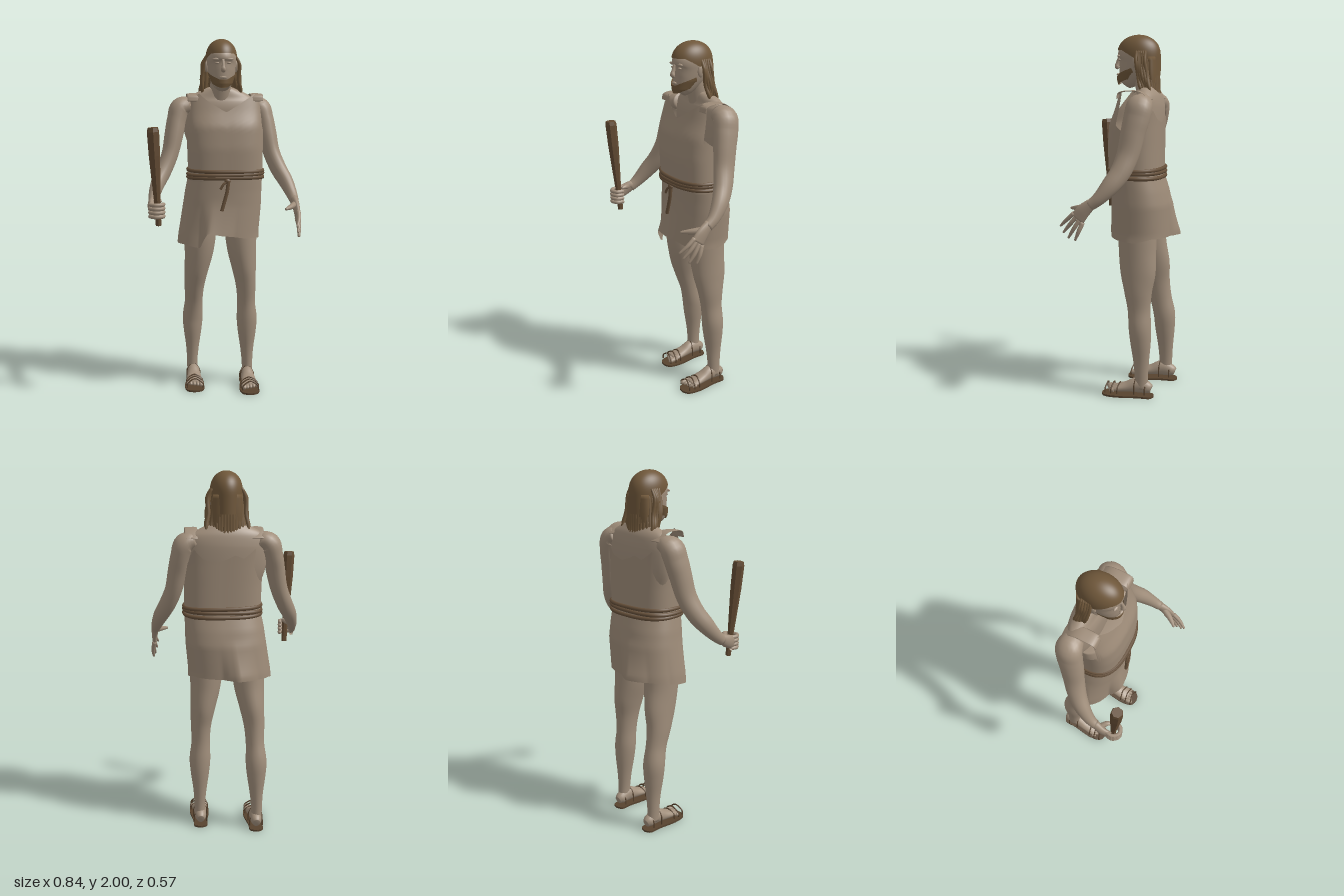
import * as THREE from 'three';

const mat = (name, color, double) => {
  const m = new THREE.MeshStandardMaterial({ color });
  m.name = name;
  if (double) m.side = THREE.DoubleSide;
  return m;
};
const V = (p) => new THREE.Vector3(p[0], p[1], p[2]);
const rad = THREE.MathUtils.degToRad, clamp = THREE.MathUtils.clamp;
const spow = (v, p) => Math.sign(v) * Math.abs(v) ** p;

// Linear lookup in rows of [key, values...]
function look(rows, key) {
  let i = 0;
  while (i < rows.length - 2 && key > rows[i + 1][0]) i++;
  const [a, b] = [rows[i], rows[i + 1]];
  const t = clamp((key - a[0]) / (b[0] - a[0]), 0, 1);
  return a.slice(1).map((v, k) => v + (b[k + 1] - v) * t);
}

function build(pos, idx) {
  const g = new THREE.BufferGeometry();
  g.setAttribute('position', new THREE.Float32BufferAttribute(pos, 3));
  g.setIndex(idx);
  g.computeVertexNormals();
  return g;
}

// Capped smooth loft along stations [x, y, z, radius across, radius other way]
function limb(stations, sides = 20, per = 5) {
  const path = new THREE.CatmullRomCurve3(stations.map(V));
  const size = new THREE.CatmullRomCurve3(stations.map((s) => new THREE.Vector3(s[3], s[4] ?? s[3], 0)), false, 'catmullrom');
  const n = (stations.length - 1) * per, pos = [], idx = [];
  for (let k = 0; k <= n; k++) {
    const c = path.getPoint(k / n), r = size.getPoint(k / n), T = path.getTangent(k / n);
    const A = new THREE.Vector3(1, 0, 0).addScaledVector(T, -T.x).normalize();
    const B = new THREE.Vector3().crossVectors(T, A);
    for (let i = 0; i < sides; i++) {
      const f = (i / sides) * Math.PI * 2;
      pos.push(...c.clone().addScaledVector(A, Math.cos(f) * r.x).addScaledVector(B, Math.sin(f) * r.y).toArray());
    }
  }
  pos.push(...path.getPoint(0).toArray(), ...path.getPoint(1).toArray());
  const c0 = (n + 1) * sides;
  for (let i = 0; i < sides; i++) {
    const j = (i + 1) % sides;
    for (let k = 0; k < n; k++) {
      const a = k * sides + i, b = k * sides + j;
      idx.push(a, b, a + sides, b, b + sides, a + sides);
    }
    idx.push(c0, j, i, c0 + 1, n * sides + i, n * sides + j);
  }
  return build(pos, idx);
}

// Open shell round the y axis: range(deg) gives [low, high], section(y, deg) gives [cx, cz, rx, rz]
function shell(range, section, power = 1, ease = (v) => v, cols = 120, rows = 20) {
  const pos = [], idx = [];
  for (let k = 0; k <= rows; k++) for (let i = 0; i < cols; i++) {
    const deg = (i / cols) * 360, [lo, hi] = range(deg);
    const y = lo + (hi - lo) * ease(k / rows), [cx, cz, rx, rz] = section(y, deg);
    pos.push(cx + rx * spow(Math.cos(rad(deg)), power), y, cz + rz * spow(Math.sin(rad(deg)), power));
  }
  for (let k = 0; k < rows; k++) for (let i = 0; i < cols; i++) {
    const a = k * cols + i, b = k * cols + (i + 1) % cols;
    idx.push(a, a + cols, b, b, a + cols, b + cols);
  }
  return build(pos, idx);
}

const tube = (pts, r, closed = false, seg = 32) =>
  new THREE.TubeGeometry(new THREE.CatmullRomCurve3(pts.map(V), closed), seg, r, 8, closed);

export function createModel() {
  const root = new THREE.Group();
  const skin = mat('skin', 0xa08e7b, true), cloth = mat('tunic cloth', 0x9c8a77, true);
  const hair = mat('hair', 0x6f573a, true), rope = mat('rope', 0x66503a, true);
  const wood = mat('club wood', 0x634b33), leather = mat('sandal leather', 0x57432f);
  const add = (name, geo, m, parent = root) => {
    const mesh = new THREE.Mesh(geo, m);
    mesh.name = name;
    parent.add(mesh);
    return mesh;
  };
  const ball = (name, p, s, m) => {
    const b = add(name, new THREE.SphereGeometry(1, 16, 12), m);
    b.position.set(...p);
    b.scale.set(...s);
  };

  // Head and face
  const headRows = [[1.735, 0.024, 0.035, 0.034], [1.755, 0.008, 0.053, 0.055], [1.8, -0.02, 0.071, 0.083],
    [1.85, -0.045, 0.08, 0.107], [1.9, -0.053, 0.081, 0.112], [1.95, -0.055, 0.062, 0.086], [1.98, -0.055, 0.025, 0.03]];
  add('head', limb(headRows.map(([y, z, rx, rz]) => [0, y, z, rx, rz]), 32), skin);
  add('neck', limb([[0, 1.6, -0.12, 0.075, 0.06], [0, 1.69, -0.105, 0.062, 0.06], [0, 1.82, -0.075, 0.057, 0.06]]), skin);
  add('nose', limb([[0, 1.885, 0.055, 0.008, 0.006], [0, 1.85, 0.064, 0.009, 0.011], [0, 1.83, 0.068, 0.014, 0.013], [0, 1.82, 0.06, 0.01, 0.008]], 12), skin);
  ball('lips', [0, 1.788, 0.06], [0.021, 0.007, 0.009], skin);
  for (const s of [1, -1]) {
    ball('brow', [s * 0.034, 1.886, 0.046], [0.025, 0.008, 0.01], skin);
    ball('eye', [s * 0.032, 1.866, 0.045], [0.012, 0.006, 0.009], skin);
    ball('ear', [s * 0.083, 1.85, -0.055], [0.009, 0.032, 0.02], skin);
  }
  add('beard', shell((d) => look([[0, 1.757, 1.82], [45, 1.737, 1.793], [72, 1.732, 1.777], [108, 1.732, 1.777], [135, 1.737, 1.793],
    [180, 1.757, 1.82], [205, 1.765, 1.78], [335, 1.765, 1.78], [360, 1.757, 1.82]], d), (y) => {
    const [z, rx, rz] = look(headRows, y);
    return [0, z, rx + 0.003, rz + 0.003];
  }), hair);

  // Hair cap with locks hanging at the sides and back
  add('hairCap', shell((d) => [look([[0, 1.87], [25, 1.9], [45, 1.918], [135, 1.918], [155, 1.9], [180, 1.87], [225, 1.78], [315, 1.78], [360, 1.87]], d)[0], 2], (y) => {
    const f = Math.sqrt(Math.max(0, 1 - (Math.max(0, y - 1.88) / 0.12) ** 2.5));
    return [0, -0.055, 0.088 * f, 0.121 * f];
  }, 1, (v) => Math.sin(v * Math.PI / 2)), hair);
  add('backHair', limb([[0, 1.88, -0.13, 0.075, 0.035], [0, 1.78, -0.135, 0.08, 0.032], [0, 1.68, -0.15, 0.07, 0.014]]), hair);
  for (let i = 0; i < 15; i++) {
    const a = rad(205 + i * 130 / 14), c = Math.cos(a), s = Math.sin(a), j = Math.sin(i * 7.3);
    add('backLock', limb([[0.08 * c, 1.88, -0.06 + 0.1 * s, 0.008], [0.092 * c, 1.78, -0.07 + 0.09 * s, 0.012],
      [(0.1 + 0.008 * j) * c, 1.7, -0.1 + 0.065 * s, 0.01], [0.1 * c + 0.006 * j, 1.62 + 0.035 * j, -0.14 + 0.04 * s, 0.003]], 7, 4), hair);
  }
  for (const s of [1, -1]) for (let i = 0; i < 5; i++) {
    const z = -0.062 - i * 0.012, j = Math.sin(i * 5.1 + s);
    add('sideLock', limb([[s * 0.08, 1.91, z, 0.007], [s * (0.098 + 0.006 * j), 1.86, z, 0.01], [s * (0.103 - 0.006 * j), 1.78, z - 0.012, 0.011],
      [s * (0.108 + 0.006 * j), 1.72, z - 0.026, 0.01], [s * 0.11, 1.665 + 0.025 * j, z - 0.04, 0.003]], 7, 4), hair);
  }

  // Torso, shoulders and arms
  add('torso', limb([[0, 0.97, -0.08, 0.1, 0.07], [0.008, 1.05, -0.08, 0.175, 0.125], [0.015, 1.2, -0.06, 0.185, 0.12],
    [0.018, 1.36, -0.055, 0.185, 0.125], [0.018, 1.45, -0.07, 0.18, 0.1]], 32), skin);
  add('shoulders', limb([[0.01, 1.4, -0.115, 0.18, 0.068], [0.005, 1.5, -0.115, 0.212, 0.076], [0.002, 1.61, -0.115, 0.215, 0.077],
    [0, 1.665, -0.115, 0.2, 0.067], [0, 1.7, -0.11, 0.15, 0.053], [0, 1.735, -0.105, 0.07, 0.045]], 32), skin);
  const armRows = [[0.17, 1.64, -0.112, 0.045, 0.055], [0.225, 1.622, -0.112, 0.058, 0.07], [0.248, 1.56, -0.102, 0.054, 0.071],
    [0.264, 1.48, -0.085, 0.053, 0.066], [0.288, 1.37, -0.064, 0.047, 0.06], [0.324, 1.28, -0.032, 0.045, 0.055],
    [0.36, 1.21, 0.014, 0.04, 0.048], [0.384, 1.145, 0.07, 0.03, 0.035], [0.392, 1.11, 0.115, 0.023, 0.029]];
  for (const s of [1, -1])
    add(s > 0 ? 'leftArm' : 'rightArm', limb(armRows.map(([x, y, z, a, b]) => [s * x, y, z, a, b])), skin);

  // Open left hand
  add('leftPalm', limb([[0.39, 1.125, 0.1, 0.022, 0.028], [0.396, 1.08, 0.15, 0.018, 0.038], [0.398, 1.04, 0.18, 0.014, 0.04]]), skin);
  [[0.378, 0.995, 0.28], [0.385, 0.962, 0.262], [0.395, 0.935, 0.232], [0.405, 0.925, 0.192]].forEach((t, i) => {
    const o = (1.5 - i) * 0.016, b = [0.398, 1.045 + o, 0.175 + o];
    add('finger', limb([[...b, 0.012], [(b[0] + t[0]) / 2 + 0.006, (b[1] + t[1]) / 2, (b[2] + t[2]) / 2, 0.011], [...t, 0.006]], 10), skin);
  });
  add('thumb', limb([[0.39, 1.1, 0.14, 0.018], [0.36, 1.092, 0.19, 0.015], [0.323, 1.085, 0.235, 0.007]], 10), skin);

  // Right fist round the club
  add('rightPalm', limb([[-0.388, 1.125, 0.1, 0.023, 0.028], [-0.4, 1.1, 0.15, 0.02, 0.036], [-0.398, 1.085, 0.195, 0.014, 0.036]]), skin);
  for (let i = 0; i < 4; i++) {
    const y = 1.052 + i * 0.021;
    add('grippingFinger', tube([[-0.4, y, 0.175], [-0.406, y, 0.215], [-0.38, y, 0.244], [-0.343, y, 0.233], [-0.336, y, 0.2]], 0.011), skin);
    ball('fingertip', [-0.336, y, 0.2], [0.011, 0.011, 0.011], skin);
  }
  add('grippingThumb', limb([[-0.385, 1.12, 0.14, 0.015], [-0.36, 1.13, 0.165, 0.014], [-0.35, 1.13, 0.195, 0.007]], 10), skin);
  const top = V([-0.388, 1.525, 0.235]), bottom = V([-0.362, 1, 0.2]), axis = top.clone().sub(bottom);
  const profile = [[0, 0], [0.016, 0], [0.016, 0.2], [0.022, 0.4], [0.031, 0.72], [0.033, 0.96], [0.028, 1], [0, 1]]
    .map(([r, t]) => new THREE.Vector2(r, t * axis.length()));
  const clubGeo = new THREE.LatheGeometry(profile, 7).toNonIndexed();
  clubGeo.computeVertexNormals();
  const club = add('club', clubGeo, wood);
  club.position.copy(bottom);
  club.quaternion.setFromUnitVectors(new THREE.Vector3(0, 1, 0), axis.clone().normalize());

  // Tunic body with armholes, V neck and ragged back
  const bodyRows = [[1.22, 0.022, -0.053, 0.208, 0.142], [1.4, 0.02, -0.05, 0.212, 0.146], [1.52, 0.018, -0.055, 0.216, 0.142],
    [1.6, 0.018, -0.072, 0.216, 0.126], [1.7, 0.018, -0.088, 0.212, 0.112]];
  const neckline = [[0, 1.47], [24, 1.52], [34, 1.685], [48, 1.7], [70, 1.66], [85, 1.622], [90, 1.6], [95, 1.622], [110, 1.66], [126, 1.7],
    [146, 1.685], [156, 1.52], [180, 1.47], [205, 1.5], [228, 1.6], [250, 1.55], [262, 1.57], [275, 1.53], [295, 1.55], [312, 1.6], [335, 1.5], [360, 1.47]];
  add('tunicBody', shell((d) => [1.22, look(neckline, d)[0]], (y) => look(bodyRows, y), 0.72), cloth);
  for (const s of [1, -1]) {
    const x = 0.016 + s * 0.176;
    add('shoulderStrap', limb([[x, 1.66, 0.014, 0.034, 0.003], [x, 1.69, 0.004, 0.034, 0.003], [x, 1.7, -0.05, 0.034, 0.003],
      [x, 1.695, -0.11, 0.034, 0.003], [x, 1.655, -0.168, 0.034, 0.003]], 16), cloth);
  }

  // Skirt with an uneven hem and two flared corners
  const skirtRows = [[0.84, -0.012, -0.075, 0.23, 0.165], [0.92, -0.01, -0.075, 0.224, 0.166], [1.08, 0.006, -0.077, 0.222, 0.162],
    [1.16, 0.012, -0.068, 0.217, 0.154], [1.25, 0.022, -0.053, 0.209, 0.142]];
  const hem = [[0, 0.885], [60, 0.9], [90, 0.92], [104, 0.938], [118, 0.85], [124, 0.846], [150, 0.862], [180, 0.87], [205, 0.89], [270, 0.9], [330, 0.905], [360, 0.885]];
  const flare = [[0, 1], [75, 1], [104, 1.2], [122, 0.9], [140, 0.97], [165, 1.07], [195, 1.02], [235, 1.07], [264, 1.27], [277, 1], [360, 1]];
  add('skirt', shell((d) => [look(hem, d)[0], 1.25], (y, d) => {
    const [cx, cz, rx, rz] = look(skirtRows, y), f = 1 + (look(flare, d)[0] - 1) * clamp((1.12 - y) / 0.2, 0, 1) ** 1.3;
    return [cx, cz, rx * f, rz * f];
  }, 0.85), cloth);

  // Rope belt, knot and hanging ends
  for (let k = 0; k < 3; k++) {
    const ring = Array.from({ length: 24 }, (_, i) => {
      const a = (i / 24) * Math.PI * 2;
      return [0.022 + 0.21 * spow(Math.cos(a), 0.78), 1.237 + k * 0.02 + 0.004 * Math.sin(a + k * 2), -0.053 + 0.147 * spow(Math.sin(a), 0.78)];
    });
    add('beltCoil', tube(ring, 0.011, true, 96), rope);
  }
  ball('knot', [0.02, 1.225, 0.098], [0.018, 0.014, 0.012], rope);
  add('longRopeEnd', tube([[0.025, 1.225, 0.1], [0.018, 1.17, 0.1], [0.005, 1.12, 0.1], [-0.012, 1.06, 0.102]], 0.01), rope);
  add('shortRopeEnd', tube([[0.02, 1.225, 0.1], [-0.005, 1.205, 0.104], [-0.02, 1.18, 0.104]], 0.007), rope);

  // Legs, feet and sandals; the left leg stands forward
  const legRows = [[0.113, 1.13, -0.075, 0.085, 0.095], [0.113, 0.95, -0.076, 0.092, 0.106], [0.12, 0.82, -0.078, 0.084, 0.104],
    [0.135, 0.7, -0.085, 0.069, 0.098], [0.146, 0.6, -0.088, 0.058, 0.078], [0.149, 0.5, -0.094, 0.052, 0.064], [0.154, 0.4, -0.1, 0.059, 0.063],
    [0.155, 0.32, -0.104, 0.053, 0.058], [0.156, 0.21, -0.108, 0.038, 0.045], [0.158, 0.12, -0.11, 0.031, 0.038], [0.158, 0.05, -0.112, 0.03, 0.038]];
  const footRows = [[0, 0.046, -0.055, 0.02, 0.024], [0, 0.054, -0.035, 0.031, 0.034], [0, 0.066, 0.02, 0.034, 0.044],
    [0, 0.052, 0.08, 0.04, 0.03], [0, 0.042, 0.135, 0.045, 0.021], [0, 0.036, 0.168, 0.043, 0.014]];
  const sole = new THREE.Shape(new THREE.SplineCurve([[0, -0.07], [0.036, -0.05], [0.04, 0.02], [0.056, 0.13], [0.045, 0.205], [0, 0.227],
    [-0.045, 0.205], [-0.056, 0.13], [-0.04, 0.02], [-0.036, -0.05], [0, -0.07]].map(([x, z]) => new THREE.Vector2(x, -z))).getPoints(60));
  for (const s of [1, -1]) {
    const side = s > 0 ? 'left' : 'right';
    const back = (y) => (s > 0 ? 0 : -0.075 * clamp((0.92 - y) / 0.5, 0, 1) ** 1.3);
    add(side + 'Leg', limb(legRows.map(([x, y, z, a, b]) => [s * x - (s < 0 ? 0.005 : 0), y, z + back(y), a, b]), 24), skin);
    const foot = new THREE.Group();
    foot.name = side + 'Foot';
    foot.position.set(s * 0.155 - (s < 0 ? 0.003 : 0), 0, -0.11 + back(0));
    root.add(foot);
    add('foot', limb(footRows), skin, foot);
    for (let i = 0; i < 5; i++) {
      const x = s * (-0.035 + i * 0.019), z = 0.206 - i * 0.008, r = i ? 0.01 : 0.014;
      add('toe', limb([[x, 0.037, 0.15, r], [x, 0.036, z - 0.012, r], [x, 0.03, z, r * 0.5]], 10), skin, foot);
    }
    add('sole', new THREE.ExtrudeGeometry(sole, { depth: 0.01, bevelEnabled: false }).rotateX(-Math.PI / 2), leather, foot);
    for (const [z, w, h] of [[-0.025, 0.036, 0.09], [0.035, 0.038, 0.113], [0.13, 0.048, 0.072], [0.165, 0.05, 0.072], [0.2, 0.046, 0.07]])
      add('strap', tube([[-w, 0.02, z], [-w * 0.9, h * 0.65, z], [0, h, z - 0.006], [w * 0.9, h * 0.65, z], [w, 0.02, z]], 0.004), leather, foot);
  }
  return root;
}
